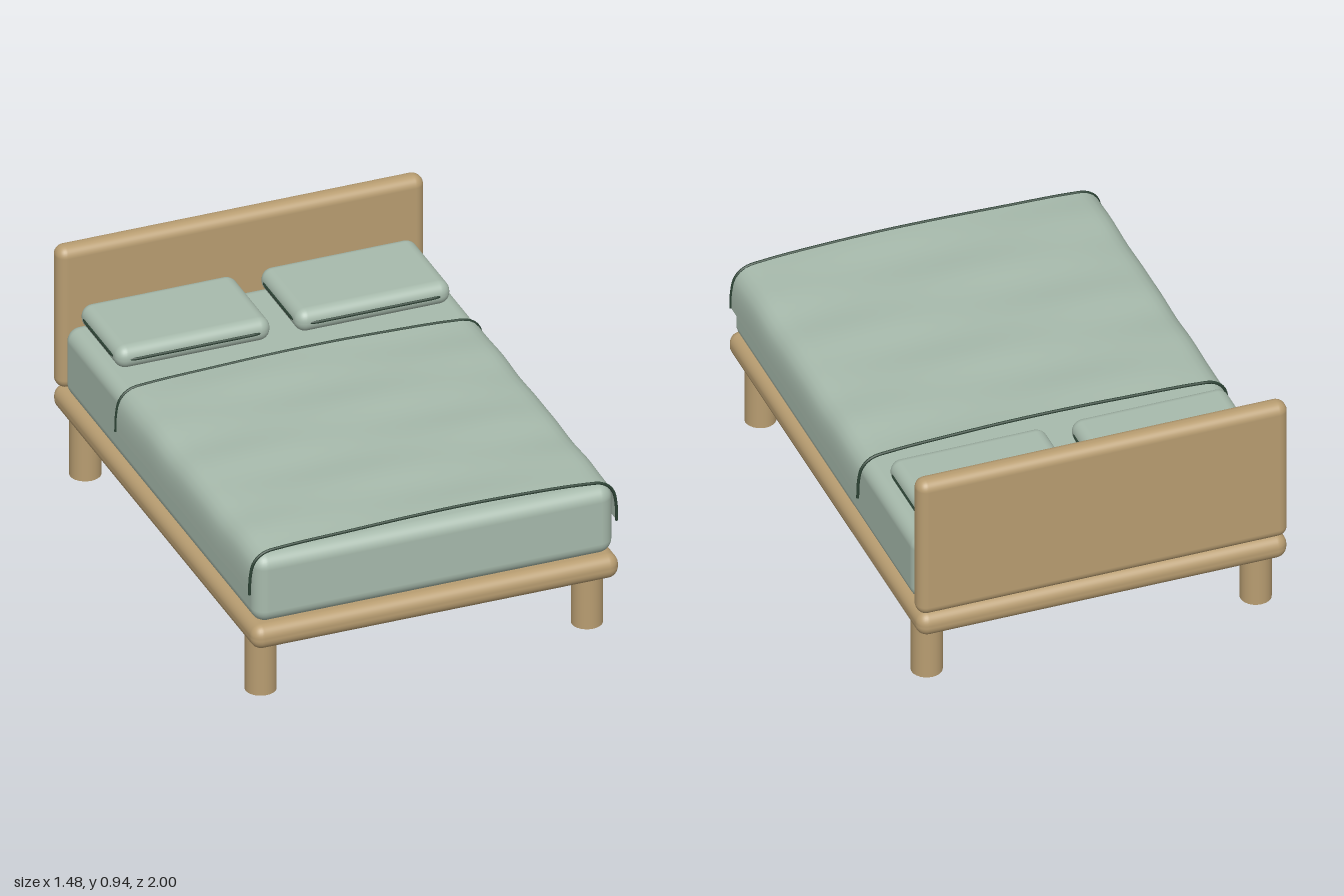
import * as THREE from 'three';
import { RoundedBoxGeometry } from 'three/addons/geometries/RoundedBoxGeometry.js';

const material = (name, color, side = THREE.FrontSide) => {
  const m = new THREE.MeshStandardMaterial({ color, side });
  m.name = name;
  return m;
};

export function createModel() {
  const wood = material('oak wood', 0xb89d71);
  const sage = material('sage fabric', 0xa7baac, THREE.DoubleSide);
  const trim = material('dark green trim', 0x2c4234);

  const bed = new THREE.Group();
  bed.name = 'bed';

  const add = (name, geometry, mat, parent = bed) => {
    const mesh = new THREE.Mesh(geometry, mat);
    mesh.name = name;
    parent.add(mesh);
    return mesh;
  };

  // Rounded box given by its limits on each axis
  const softBox = (name, [x0, x1], [y0, y1], [z0, z1], radius, mat, parent) => {
    const g = new RoundedBoxGeometry(x1 - x0, y1 - y0, z1 - z0, 4, radius);
    g.translate((x0 + x1) / 2, (y0 + y1) / 2, (z0 + z1) / 2);
    return add(name, g, mat, parent);
  };

  // Wooden frame, headboard and mattress
  softBox('frame', [-0.735, 0.735], [0.235, 0.335], [-1, 1], 0.045, wood);
  softBox('headboard', [-0.735, 0.735], [0.335, 0.935], [-1, -0.915], 0.04, wood);
  softBox('mattress', [-0.72, 0.72], [0.335, 0.622], [-0.915, 0.98], 0.055, sage);

  // Four round legs
  for (const x of [-0.653, 0.653]) {
    for (const z of [-0.86, 0.86]) {
      add('leg', new THREE.CylinderGeometry(0.06, 0.06, 0.245, 24), wood).position.set(x, 0.1225, z);
    }
  }

  // Pillows with piping that sinks in at the corners
  for (const side of [-1, 1]) {
    const pillow = new THREE.Group();
    pillow.name = side > 0 ? 'leftPillow' : 'rightPillow';
    pillow.position.set(side * 0.36, 0.673, -0.692);
    bed.add(pillow);
    const hx = 0.31, hz = 0.198, r = 0.08;
    softBox('cushion', [-hx, hx], [-0.047, 0.047], [-hz, hz], 0.045, sage, pillow);

    const outline = new THREE.Shape();
    outline.absarc(hx - r, hz - r, r, 0, Math.PI / 2);
    outline.absarc(r - hx, hz - r, r, Math.PI / 2, Math.PI);
    outline.absarc(r - hx, r - hz, r, Math.PI, Math.PI * 1.5);
    outline.absarc(hx - r, r - hz, r, Math.PI * 1.5, Math.PI * 2);
    outline.closePath();
    const points = outline.getSpacedPoints(80).slice(0, -1).map((p) => new THREE.Vector3(p.x, 0, p.y));
    const loop = new THREE.CatmullRomCurve3(points, true);
    add('piping', new THREE.TubeGeometry(loop, 120, 0.006, 8, true), trim, pillow);
  }

  // Blanket: an arched cross-section swept along z with gentle ripples
  const half = [[0.735, 0.466], [0.732, 0.54], [0.718, 0.598], [0.68, 0.633], [0.6, 0.645], [0.3, 0.655]];
  const section = new THREE.CatmullRomCurve3([
    ...half.map(([x, y]) => new THREE.Vector3(-x, y, 0)),
    new THREE.Vector3(0, 0.658, 0),
    ...half.slice().reverse().map(([x, y]) => new THREE.Vector3(x, y, 0)),
  ], false, 'centripetal');
  const zBack = -0.36, zFront = 0.952;
  const blanketPoint = (u, z) => {
    const p = section.getPointAt(u);
    p.y += 0.003 * Math.sin(14 * z + 5 * p.x) + 0.0015 * Math.sin(23 * z - 3 * p.x);
    p.z = z;
    return p;
  };
  const sheet = new THREE.PlaneGeometry(1, 1, 64, 48);
  const pos = sheet.attributes.position;
  for (let i = 0; i < pos.count; i++) {
    const u = THREE.MathUtils.clamp(pos.getX(i) + 0.5, 0, 1);
    const p = blanketPoint(u, THREE.MathUtils.lerp(zFront, zBack, pos.getY(i) + 0.5));
    pos.setXYZ(i, p.x, p.y, p.z);
  }
  sheet.computeVertexNormals();
  add('blanket', sheet, sage);

  // Dark hems along both ends of the blanket
  for (const [name, z] of [['frontHem', zFront], ['backHem', zBack]]) {
    const points = Array.from({ length: 65 }, (_, i) => blanketPoint(i / 64, z));
    add(name, new THREE.TubeGeometry(new THREE.CatmullRomCurve3(points), 96, 0.006, 8), trim);
  }

  return bed;
}
